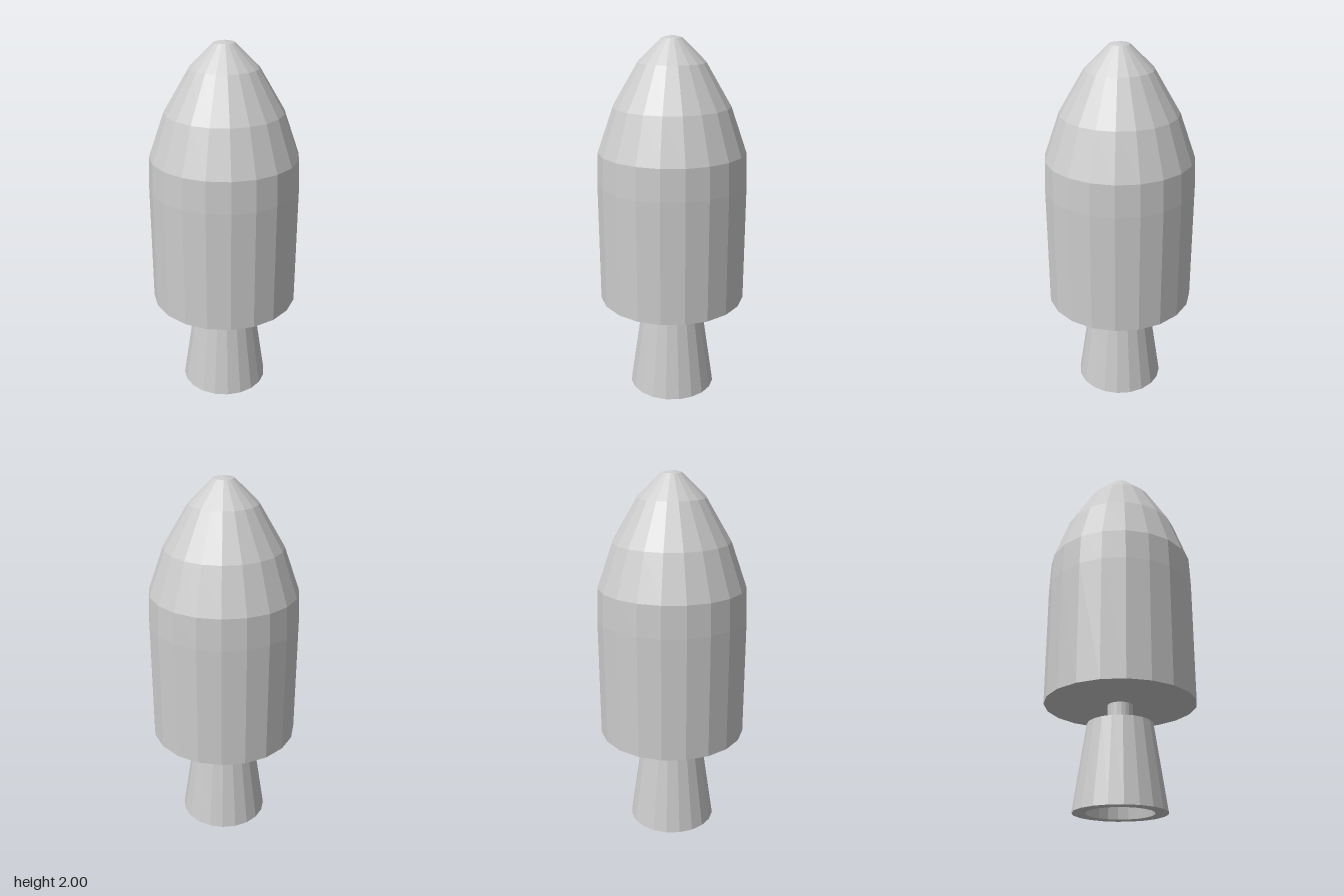
import * as THREE from 'three';

// Faceted solid of revolution; profile runs from the bottom axis outward and up
function turned(name, profile, sides) {
  const points = profile.map(([r, y]) => new THREE.Vector2(r, y));
  const material = new THREE.MeshStandardMaterial({ color: 0xcccccc, flatShading: true });
  const mesh = new THREE.Mesh(new THREE.LatheGeometry(points, sides), material);
  mesh.name = name;
  return mesh;
}

export function createModel() {
  const model = new THREE.Group();
  model.name = 'rocketStage';

  // Cylindrical hull with a rounded ogive nose and flat base
  model.add(turned('hull', [
    [0, 0.56], [0.406, 0.56], [0.406, 1.23], [0.399, 1.4],
    [0.314, 1.64], [0.18, 1.865], [0.054, 1.988], [0, 2],
  ], 20));

  // Thin neck joining hull and engine bell
  model.add(turned('neck', [[0, 0.44], [0.068, 0.44], [0.068, 0.57], [0, 0.57]], 20));

  // Thick-walled engine bell, hollow from below
  model.add(turned('engineBell', [
    [0, 0.4], [0.115, 0.4], [0.175, 0], [0.243, 0], [0.176, 0.455], [0, 0.455],
  ], 20));

  return model;
}
